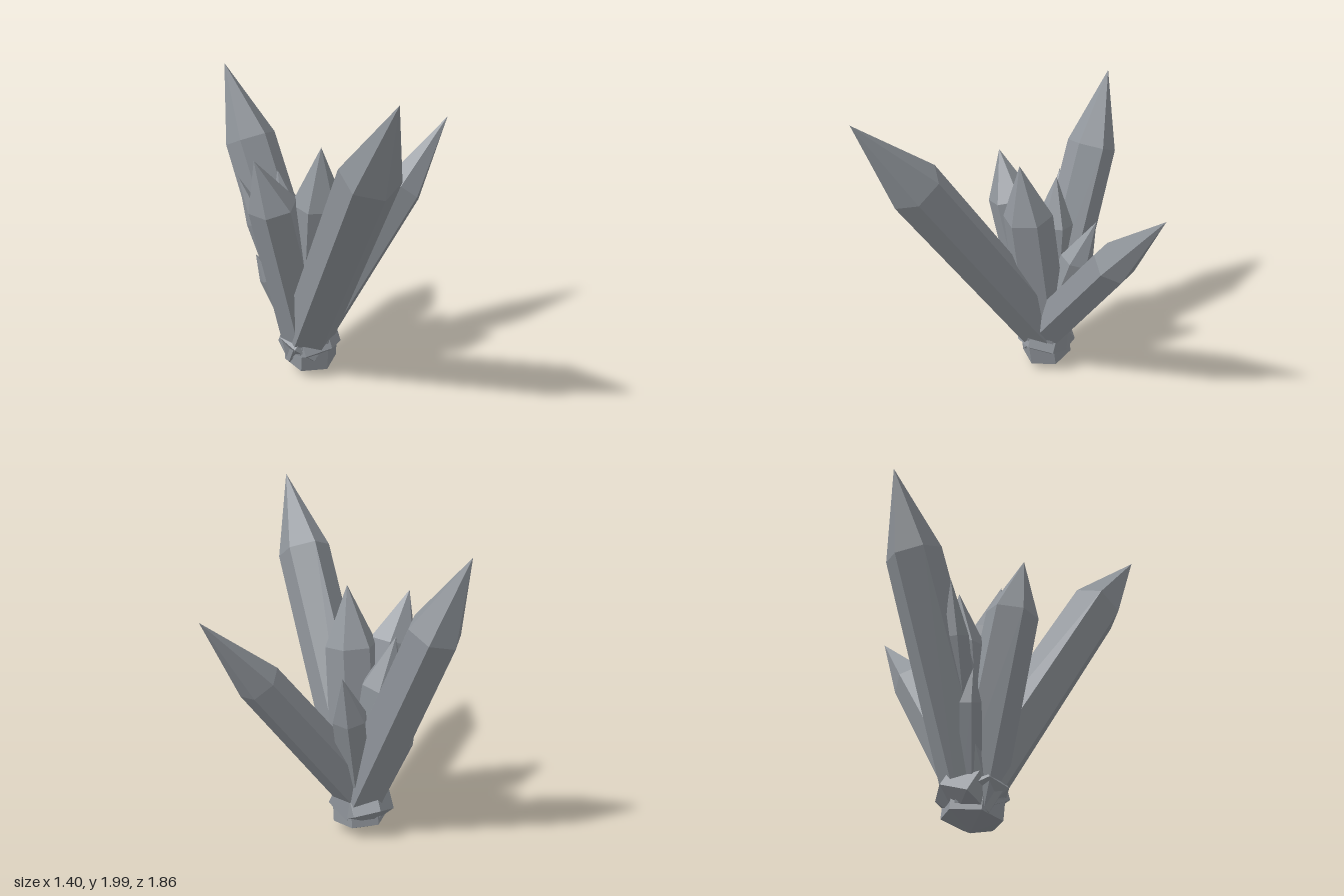
import * as THREE from 'three';

const SIDES = 6;
const V = (p) => new THREE.Vector3(...p);

// Faceted shard: blunt root point, root ring, shoulder ring, sharp tip
function shardGeometry({ root, shoulder, tip, r0, r1, spin = 0, cap = 0.06 }) {
  const a = V(root), b = V(shoulder), t = V(tip);
  const dir = b.clone().sub(a).normalize();
  const q = new THREE.Quaternion().setFromUnitVectors(new THREE.Vector3(0, 1, 0), dir);
  const ring = (c, r) => Array.from({ length: SIDES }, (_, i) => {
    const ang = spin + (i / SIDES) * Math.PI * 2;
    return new THREE.Vector3(Math.sin(ang) * r, 0, Math.cos(ang) * r).applyQuaternion(q).add(c);
  });
  const low = ring(a, r0), high = ring(b, r1);
  const end = a.clone().addScaledVector(dir, -cap);
  const pts = [];
  for (let i = 0; i < SIDES; i++) {
    const j = (i + 1) % SIDES;
    pts.push(end, low[j], low[i]);
    pts.push(low[i], low[j], high[j], low[i], high[j], high[i]);
    pts.push(high[i], high[j], t);
  }
  const g = new THREE.BufferGeometry().setFromPoints(pts);
  g.computeVertexNormals();
  return g;
}

export function createModel() {
  const group = new THREE.Group();
  group.name = 'crystalCluster';
  const stone = new THREE.MeshStandardMaterial({ color: 0x90959b, flatShading: true });
  stone.name = 'grey crystal';

  const shards = {
    // Three long leaning shards
    frontShard: { root: [-0.32, 0.13, -0.34], shoulder: [-0.395, 1.565, 0.605], tip: [-0.44, 2.0, 0.93], r0: 0.165, r1: 0.165 },
    backShard: { root: [-0.3, 0.15, -0.22], shoulder: [-0.435, 1.42, -0.745], tip: [-0.5, 1.86, -0.93], r0: 0.17, r1: 0.155, spin: 0.25 },
    leftShard: { root: [-0.39, 0.16, -0.26], shoulder: [0.35, 1.1, -0.225], tip: [0.7, 1.51, -0.25], r0: 0.15, r1: 0.13, spin: 0.25 },
    // Upright shards in the middle
    centreShard: { root: [-0.31, 0.075, -0.27], shoulder: [-0.31, 1.17, -0.12], tip: [-0.31, 1.52, -0.06], r0: 0.165, r1: 0.155, spin: 0.2, cap: 0.07 },
    rightShard: { root: [-0.32, 0.13, -0.27], shoulder: [-0.565, 1.18, -0.185], tip: [-0.67, 1.47, -0.18], r0: 0.15, r1: 0.145, spin: 0.3 },
    rearShard: { root: [-0.32, 0.12, -0.27], shoulder: [-0.37, 1.0, -0.375], tip: [-0.41, 1.3, -0.43], r0: 0.13, r1: 0.125, spin: 0.3 },
    rearLeftShard: { root: [-0.33, 0.13, -0.25], shoulder: [-0.145, 0.84, -0.38], tip: [-0.05, 1.12, -0.45], r0: 0.12, r1: 0.105, spin: 0.4 },
    // Small shards beside the back one
    smallUpperShard: { root: [-0.33, 0.15, -0.29], shoulder: [-0.51, 0.96, -0.52], tip: [-0.59, 1.24, -0.61], r0: 0.08, r1: 0.075 },
    smallLowerShard: { root: [-0.34, 0.15, -0.3], shoulder: [-0.5, 0.62, -0.42], tip: [-0.57, 0.78, -0.45], r0: 0.07, r1: 0.065 },
  };

  for (const [name, spec] of Object.entries(shards)) {
    const mesh = new THREE.Mesh(shardGeometry(spec), stone);
    mesh.name = name;
    group.add(mesh);
  }
  return group;
}
